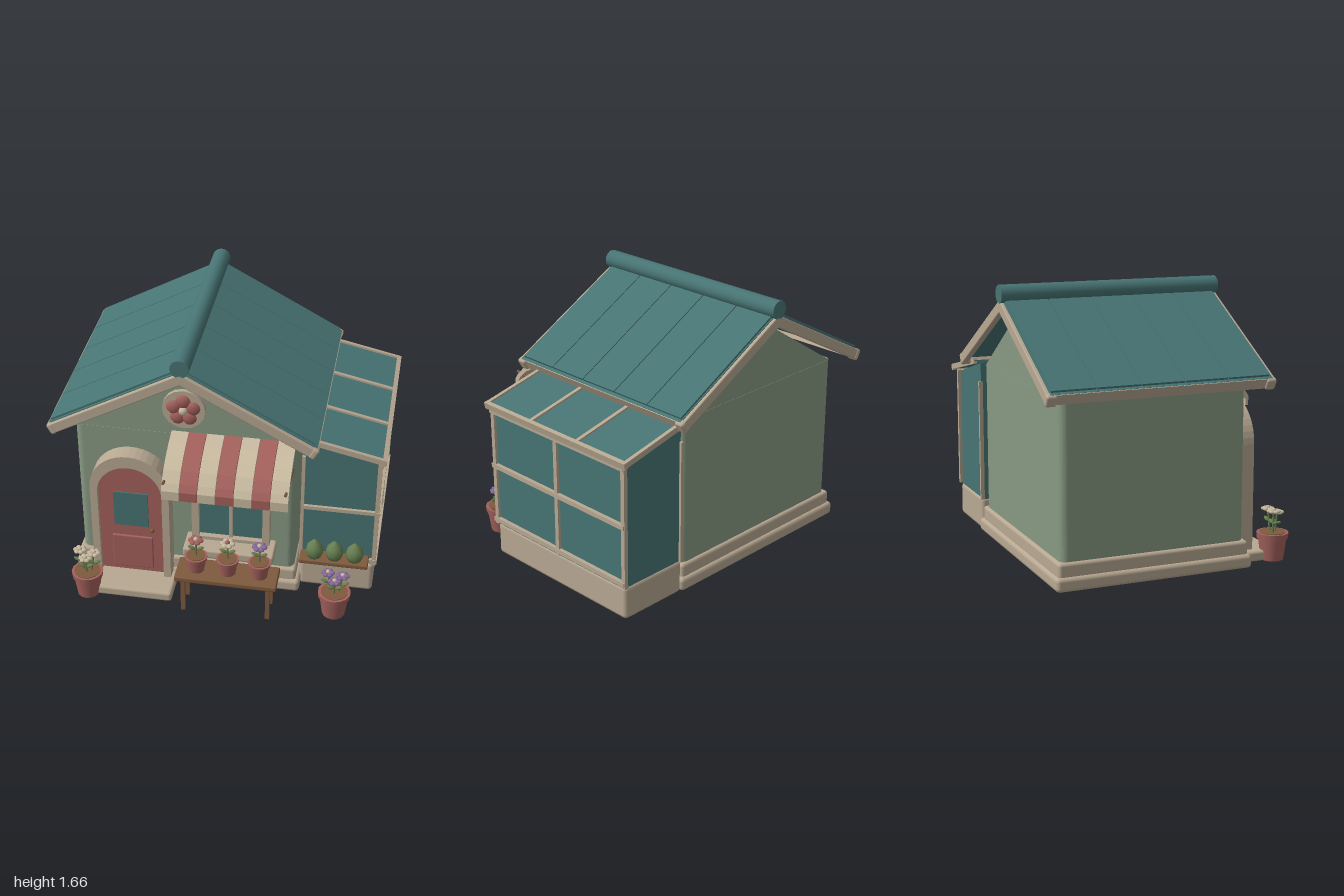
import * as THREE from 'three';
import { RoundedBoxGeometry } from 'three/addons/geometries/RoundedBoxGeometry.js';

const mat = (name, color) => {
  const m = new THREE.MeshStandardMaterial({ color });
  m.name = name;
  return m;
};

export function createModel() {
  const model = new THREE.Group();
  model.name = 'flowerCottage';
  const teal = mat('teal', 0x487474), trim = mat('trim', 0xb8a892), red = mat('dustyRed', 0xa3615c);
  const sage = mat('sageWall', 0x889983), cream = mat('cream', 0xc8baa0), leaf = mat('leafGreen', 0x667f50);
  const wood = mat('wood', 0x7f5a3d), purple = mat('purple', 0x86689a);

  const group = (name, parent = model, x = 0, y = 0, z = 0) => {
    const g = new THREE.Group();
    g.name = name;
    g.position.set(x, y, z);
    parent.add(g);
    return g;
  };
  const add = (parent, name, geo, m, x = 0, y = 0, z = 0) => {
    const mesh = new THREE.Mesh(geo, m);
    mesh.name = name;
    mesh.position.set(x, y, z);
    parent.add(mesh);
    return mesh;
  };
  // Box from its limits on each axis, optionally with rounded edges
  const box = (parent, name, m, x0, x1, y0, y1, z0, z1, r = 0) => {
    const s = [x1 - x0, y1 - y0, z1 - z0];
    const geo = r ? new RoundedBoxGeometry(...s, 2, r) : new THREE.BoxGeometry(...s);
    return add(parent, name, geo, m, (x0 + x1) / 2, (y0 + y1) / 2, (z0 + z1) / 2);
  };
  // Front-facing shape extruded between two depths
  const slab = (parent, name, m, shape, z0, z1, x = 0) =>
    add(parent, name, new THREE.ExtrudeGeometry(shape, { depth: z1 - z0, bevelEnabled: false, curveSegments: 10 }), m, x, 0, z0);
  const poly = (pts) => new THREE.Shape(pts.map(([x, y]) => new THREE.Vector2(x, y)));
  const rod = (parent, name, m, a, b, r) => {
    const p = new THREE.Vector3(...a), q = new THREE.Vector3(...b);
    const mesh = add(parent, name, new THREE.CylinderGeometry(r, r, p.distanceTo(q), 8), m);
    mesh.position.copy(p).lerp(q, 0.5);
    mesh.quaternion.setFromUnitVectors(new THREE.Vector3(0, 1, 0), q.sub(p).normalize());
    return mesh;
  };

  // House foundation, doorstep and walls
  box(model, 'foundation', trim, -0.9, 0.51, 0, 0.085, -0.73, 0.5, 0.025);
  box(model, 'foundationLedge', trim, -0.88, 0.485, 0.07, 0.165, -0.71, 0.48, 0.02);
  box(model, 'doorstep', trim, -0.8, -0.25, 0, 0.065, 0.44, 0.72, 0.018);
  const plan = new THREE.Shape();
  const hx = 0.665, hz = 0.575, cr = 0.045;
  plan.absarc(hx - cr, hz - cr, cr, 0, Math.PI / 2);
  plan.absarc(-hx + cr, hz - cr, cr, Math.PI / 2, Math.PI);
  plan.absarc(-hx + cr, -hz + cr, cr, Math.PI, Math.PI * 1.5);
  plan.absarc(hx - cr, -hz + cr, cr, Math.PI * 1.5, Math.PI * 2);
  const wallGeo = new THREE.ExtrudeGeometry(plan, { depth: 0.935, bevelEnabled: false, curveSegments: 4 });
  add(model, 'walls', wallGeo.rotateX(-Math.PI / 2), sage, -0.195, 0.15, -0.115);
  slab(model, 'gable', sage, poly([[-0.845, 1.08], [0.455, 1.08], [-0.195, 1.5]]), -0.688, 0.458);

  // Main roof: two slopes with panels, rake boards and eaves
  const pitch = 0.497, len = 0.91;
  for (const s of [-1, 1]) {
    const slope = group(s < 0 ? 'rightRoofSlope' : 'leftRoofSlope', model, -0.195, 1.57, 0);
    slope.rotation.z = -s * pitch;
    const part = (name, m, a, b, y0, y1, z0, z1, r) =>
      box(slope, name, m, Math.min(s * a, s * b), Math.max(s * a, s * b), y0, y1, z0, z1, r);
    part('roofDeck', teal, 0, 0.9, -0.035, 0.005, -0.79, 0.56);
    for (let i = 0; i < 5; i++) {
      const z = -0.785 + i * 0.2665;
      part('roofPanel', teal, 0, 0.88, 0, 0.018, z + 0.003, z + 0.2635);
    }
    part('frontRake', trim, 0, len, -0.066, 0, 0.54, 0.58, 0.008);
    part('backRake', trim, 0, len, -0.066, 0, -0.81, -0.77, 0.008);
    part('eaveBoard', trim, 0.88, 0.905, -0.062, 0.004, -0.795, 0.565);
    for (const z of [-0.782, 0.552]) part('eaveKnob', trim, 0.875, 0.918, -0.07, 0.004, z - 0.032, z + 0.032, 0.015);
  }
  rod(model, 'ridgeRoll', teal, [-0.195, 1.602, -0.81], [-0.195, 1.602, 0.58], 0.056).geometry =
    new THREE.CylinderGeometry(0.056, 0.056, 1.39, 16);

  // Arched door
  const door = group('door', model, -0.522, 0, 0);
  const frame = new THREE.Shape();
  frame.moveTo(-0.242, 0.07).lineTo(-0.242, 0.715).absarc(0, 0.715, 0.242, Math.PI, 0, true);
  frame.lineTo(0.242, 0.07).lineTo(0.197, 0.07).lineTo(0.197, 0.68).absarc(0, 0.68, 0.197, 0, Math.PI, false);
  frame.lineTo(-0.197, 0.07);
  slab(door, 'doorFrame', trim, frame, 0.44, 0.57);
  const leafShape = new THREE.Shape();
  leafShape.moveTo(-0.197, 0.08).lineTo(0.197, 0.08).lineTo(0.197, 0.68).absarc(0, 0.68, 0.197, 0, Math.PI, false);
  slab(door, 'doorLeaf', red, leafShape, 0.44, 0.54);
  box(door, 'doorWindow', teal, -0.105, 0.108, 0.43, 0.677, 0.54, 0.548);
  box(door, 'doorPanel', red, -0.122, 0.13, 0.11, 0.35, 0.535, 0.553, 0.006);
  add(door, 'doorKnob', new THREE.SphereGeometry(0.015, 8, 6), wood, 0.132, 0.42, 0.565);

  // Front window with frame, glazing bars and sill
  const win = group('window');
  box(win, 'windowGlass', teal, -0.12, 0.3, 0.36, 0.92, 0.45, 0.485);
  for (const x of [-0.152, 0.28]) box(win, 'windowJamb', trim, x, x + 0.044, 0.35, 0.965, 0.45, 0.52);
  box(win, 'windowHead', trim, -0.152, 0.324, 0.915, 0.965, 0.45, 0.52);
  box(win, 'windowFoot', trim, -0.152, 0.324, 0.34, 0.385, 0.45, 0.52);
  box(win, 'mullion', trim, 0.075, 0.097, 0.37, 0.93, 0.47, 0.505);
  box(win, 'transom', trim, -0.12, 0.29, 0.678, 0.7, 0.47, 0.505);
  box(win, 'sill', trim, -0.19, 0.362, 0.305, 0.362, 0.45, 0.63, 0.012);

  // Striped awning, each stripe one curved strip
  const awning = group('awning');
  const top = [[0.45, 1.105], [0.55, 1.078], [0.64, 1.04], [0.71, 1.0], [0.765, 0.945], [0.792, 0.905], [0.792, 0.845]];
  const under = top.map(([z, y], i) => [z - 0.02, i === 6 ? y : y - 0.018]).reverse();
  for (let i = 0; i < 7; i++) {
    const geo = new THREE.ExtrudeGeometry(poly([...top, ...under]), { depth: 0.103, bevelEnabled: false });
    add(awning, 'awningStripe', geo.rotateY(-Math.PI / 2), i % 2 ? red : cream, -0.275 + i * 0.1057 + 0.104);
  }
  for (const x of [-0.262, 0.447]) rod(awning, 'awningArm', wood, [x, 0.9, 0.45], [x, 0.955, 0.785], 0.009);

  // Gable flower medallion
  const medal = group('medallion', model, -0.195, 1.272, 0.46);
  add(medal, 'medallionDisc', new THREE.CylinderGeometry(0.128, 0.128, 0.05, 16).rotateX(Math.PI / 2), trim);
  for (let i = 0; i < 5; i++) {
    const a = Math.PI / 2 + i * Math.PI * 0.4;
    add(medal, 'medallionPetal', new THREE.SphereGeometry(0.044, 8, 6).scale(1, 1, 0.5), red, Math.cos(a) * 0.06, Math.sin(a) * 0.06, 0.03);
  }
  add(medal, 'medallionCentre', new THREE.SphereGeometry(0.028, 8, 6), cream, 0, 0, 0.035);

  // Greenhouse: plinth, glazed walls, posts and rails
  const gh = group('greenhouse');
  box(gh, 'plinth', trim, 0.5, 0.955, 0, 0.21, -0.715, 0.41, 0.025);
  slab(gh, 'glassWalls', teal, poly([[0.505, 0.2], [0.95, 0.2], [0.95, 0.97], [0.505, 1.09]]), -0.705, 0.395);
  for (const z of [0.4, -0.155, -0.71]) box(gh, 'sidePost', trim, 0.942, 0.968, 0.21, 0.97, z - 0.014, z + 0.014);
  for (const z of [0.4, -0.708]) box(gh, 'innerPost', trim, 0.495, 0.515, 0.2, 0.97, z - 0.012, z + 0.012);
  for (const y of [0.238, 0.602, 0.962]) box(gh, 'sideRail', trim, 0.945, 0.974, y - 0.014, y + 0.014, -0.72, 0.42);
  for (const y of [0.238, 0.602]) box(gh, 'frontRail', trim, 0.495, 0.97, y - 0.012, y + 0.012, 0.39, 0.414);

  // Greenhouse lean-to roof
  const lean = group('leanToRoof', gh, 0.5, 1.11, 0);
  lean.rotation.z = -0.221;
  box(lean, 'roofGlass', teal, 0, 0.495, -0.02, 0, -0.745, 0.425);
  for (const z of [-0.742, -0.35, 0.042, 0.425]) box(lean, 'roofBar', trim, 0, 0.5, -0.022, 0.012, z - 0.012, z + 0.012);
  box(lean, 'roofEave', trim, 0.478, 0.504, -0.028, 0.013, -0.752, 0.438);

  // Shelf with three shrubs
  box(gh, 'shelf', wood, 0.505, 0.925, 0.245, 0.275, 0.4, 0.51, 0.008);
  const egg = [[0, 0], [0.04, 0.004], [0.056, 0.045], [0.046, 0.085], [0.02, 0.115], [0, 0.132]];
  for (const x of [0.595, 0.717, 0.84])
    add(gh, 'shrub', new THREE.LatheGeometry(egg.map((p) => new THREE.Vector2(...p)), 10), leaf, x, 0.274, 0.46);

  // Bench
  const bench = group('bench');
  box(bench, 'benchTop', wood, -0.215, 0.405, 0.23, 0.267, 0.59, 0.79, 0.01);
  for (const x of [-0.165, 0.352])
    for (const z of [0.62, 0.76]) box(bench, 'benchLeg', wood, x - 0.013, x + 0.013, 0, 0.235, z - 0.013, z + 0.013);

  // Flower pots; each bloom is [dx, dz, height above rim]
  const pot = (name, x, y, z, r, h, petals, eye, size, blooms) => {
    const g = group(name, model, x, y, z);
    add(g, 'potBody', new THREE.CylinderGeometry(r * 0.9, r * 0.7, h * 0.85, 14), red, 0, h * 0.425, 0);
    add(g, 'potRim', new THREE.CylinderGeometry(r, r * 0.96, h * 0.22, 14), red, 0, h * 0.89, 0);
    add(g, 'soil', new THREE.CylinderGeometry(r * 0.82, r * 0.82, 0.006, 14), wood, 0, h + 0.001, 0);
    blooms.forEach(([dx, dz, up], k) => {
      rod(g, 'stem', leaf, [dx * 0.5, h - 0.01, dz * 0.5], [dx, h + up, dz], 0.006);
      for (const s of [-1, 1]) {
        const l = add(g, 'leaf', new THREE.SphereGeometry(0.026, 6, 5).scale(1, 0.35, 0.55), leaf, dx * 0.8 + s * 0.026, h + up * 0.5, dz * 0.8);
        l.rotation.z = s * 0.4;
      }
      for (let i = 0; i < 6; i++) {
        const a = (i * Math.PI) / 3 + k;
        add(g, 'petal', new THREE.SphereGeometry(size * 0.42, 7, 5).scale(1, 0.6, 1), petals,
          dx + Math.cos(a) * size * 0.6, h + up, dz + Math.sin(a) * size * 0.6);
      }
      add(g, 'bloomEye', new THREE.SphereGeometry(size * 0.35, 7, 5), eye, dx, h + up + size * 0.15, dz);
    });
  };
  const one = [[0, 0, 0.115]];
  pot('benchPotRight', -0.095, 0.266, 0.69, 0.07, 0.105, red, cream, 0.047, one);
  pot('benchPotMiddle', 0.097, 0.266, 0.69, 0.07, 0.105, cream, red, 0.047, one);
  pot('benchPotLeft', 0.29, 0.266, 0.69, 0.07, 0.105, purple, cream, 0.047, one);
  const bunch = [[-0.045, -0.02, 0.125], [0.045, -0.01, 0.12], [0, 0.03, 0.105]];
  pot('doorPot', -0.775, 0, 0.7, 0.097, 0.167, cream, cream, 0.042, bunch.map(([a, b, c]) => [a, b, c + 0.015]));
  pot('greenhousePot', 0.742, 0, 0.64, 0.1, 0.163, purple, cream, 0.042, bunch);

  return model;
}
